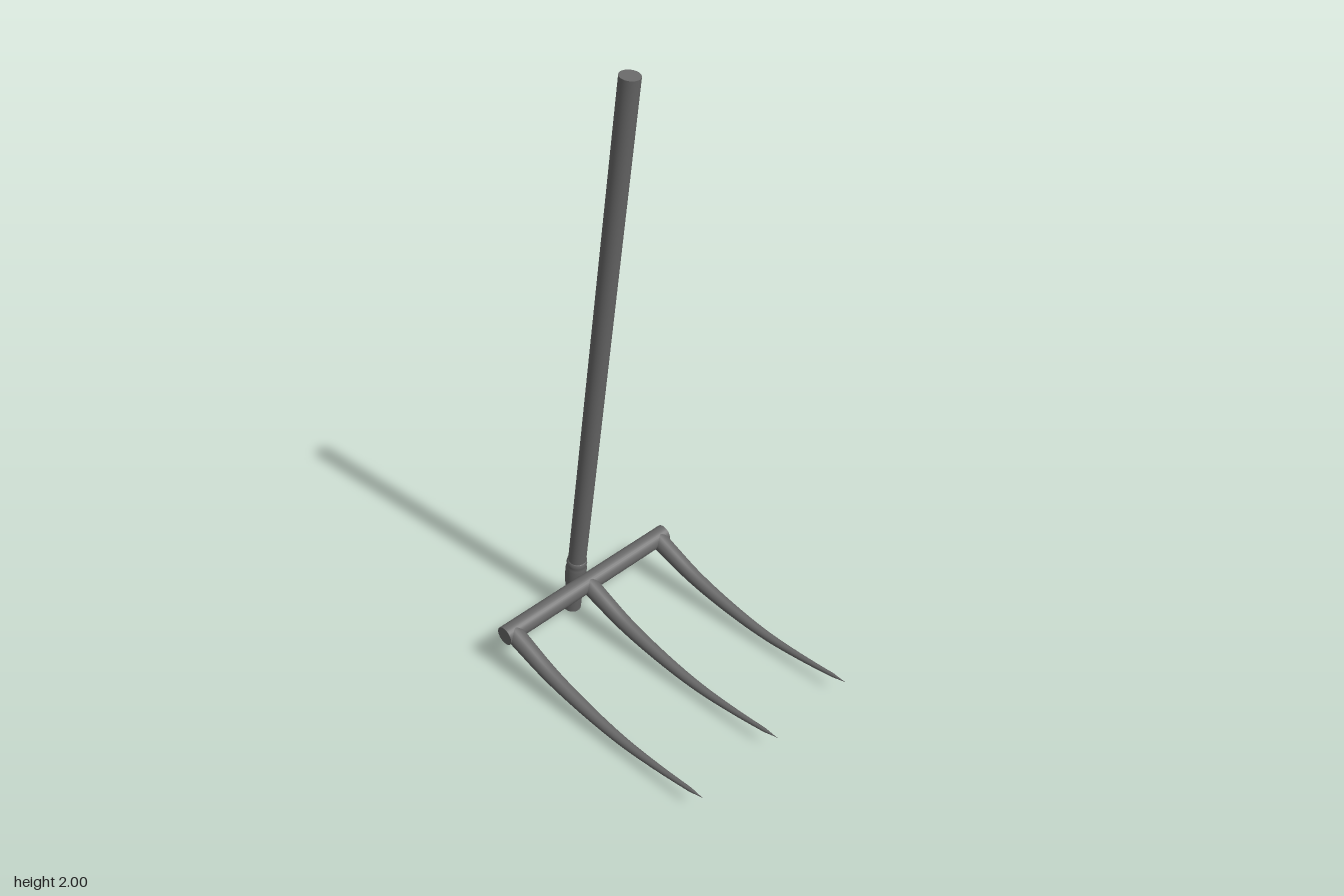
import * as THREE from 'three';

const material = new THREE.MeshStandardMaterial({ color: 0x686868 });

function addMesh(parent, geometry, name) {
  const mesh = new THREE.Mesh(geometry, material);
  mesh.name = name;
  parent.add(mesh);
  return mesh;
}

// Tube along a curve that narrows evenly, then closes to a short point
function taperedTube(curve, rootRadius, endRadius, segments, sides) {
  const geometry = new THREE.TubeGeometry(curve, segments, 1, sides);
  const pos = geometry.attributes.position;
  const v = new THREE.Vector3();
  for (let i = 0; i <= segments; i++) {
    const t = i / segments;
    const centre = curve.getPointAt(t);
    const point = Math.min(1, (1 - t) / 0.06);
    const r = THREE.MathUtils.lerp(rootRadius, endRadius, t) * point;
    for (let j = 0; j <= sides; j++) {
      const k = i * (sides + 1) + j;
      v.fromBufferAttribute(pos, k).sub(centre).multiplyScalar(r).add(centre);
      pos.setXYZ(k, v.x, v.y, v.z);
    }
  }
  return geometry;
}

export function createModel() {
  const group = new THREE.Group();
  group.name = 'longHandledFork';

  // Leaning handle, with its foot passing behind the crossbar
  const foot = new THREE.Vector3(0, 0.005, -0.45);
  const top = new THREE.Vector3(0, 1.995, -0.125);
  const axis = top.clone().sub(foot);
  const length = axis.length();
  const handle = new THREE.Group();
  handle.name = 'handleAssembly';
  handle.position.copy(foot);
  handle.quaternion.setFromUnitVectors(new THREE.Vector3(0, 1, 0), axis.normalize());
  group.add(handle);
  addMesh(handle, new THREE.CylinderGeometry(0.03, 0.03, length, 32).translate(0, length / 2, 0), 'handle');

  // Stepped collar around the handle at the crossbar
  const profile = [[0.029, 0.125], [0.034, 0.13], [0.0355, 0.155], [0.0355, 0.195],
    [0.033, 0.203], [0.033, 0.215], [0.0345, 0.22], [0.033, 0.232], [0.029, 0.235]];
  addMesh(handle, new THREE.LatheGeometry(profile.map(p => new THREE.Vector2(...p)), 32), 'collar');

  // Crossbar carrying the tines
  const bar = addMesh(group, new THREE.CylinderGeometry(0.032, 0.032, 0.716, 32), 'crossbar');
  bar.rotation.z = Math.PI / 2;
  bar.position.set(0, 0.16, -0.366);

  // Three curved, pointed tines
  const curve = new THREE.CatmullRomCurve3([
    [0.158, -0.36], [0.134, -0.3], [0.094, -0.19], [0.061, -0.04],
    [0.042, 0.13], [0.045, 0.28], [0.064, 0.478],
  ].map(([y, z]) => new THREE.Vector3(0, y, z)));
  const tine = taperedTube(curve, 0.031, 0.005, 64, 24);
  [['rightTine', -0.326], ['middleTine', 0], ['leftTine', 0.326]].forEach(([name, x]) => {
    addMesh(group, tine, name).position.x = x;
  });

  return group;
}
